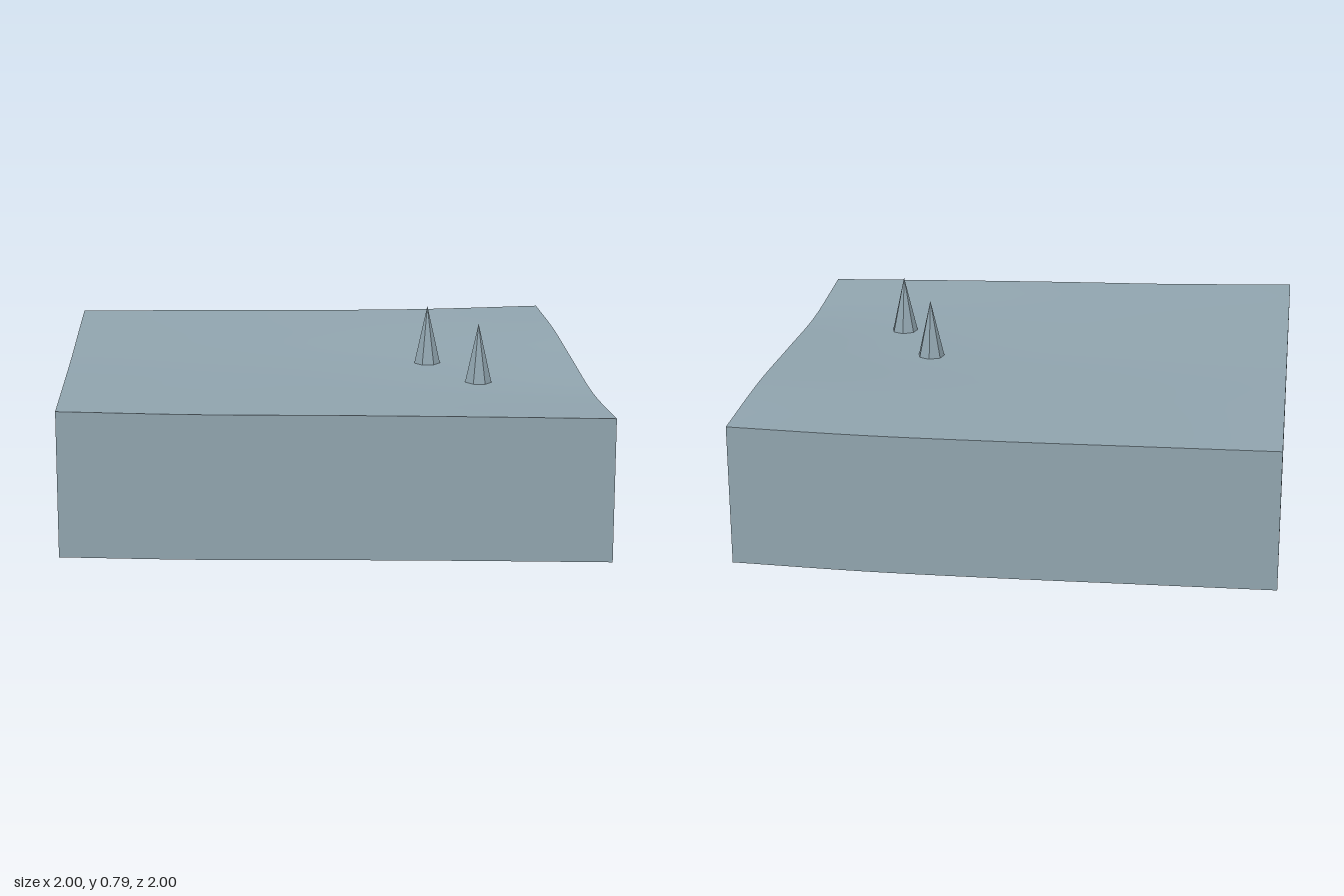
import * as THREE from 'three';

// Ground heights: rows run from back (z = -1) to front (z = 1), columns from x = -1 to x = 1
const HEIGHTS = [
  [0.602, 0.598, 0.594, 0.594, 0.604],
  [0.598, 0.585, 0.578, 0.58, 0.597],
  [0.592, 0.575, 0.562, 0.558, 0.565],
  [0.595, 0.577, 0.563, 0.549, 0.535],
  [0.6, 0.583, 0.574, 0.563, 0.55],
];
const SKIRT = 0.535;
const SEGMENTS = 24;

// Smooth curve through five evenly spaced values, t from -1 to 1
function smooth(values, t) {
  const u = (t + 1) * 2;
  const i = Math.min(3, Math.floor(u));
  const f = u - i;
  const b = values[i], c = values[i + 1];
  const a = i > 0 ? values[i - 1] : 2 * b - c;
  const d = i < 3 ? values[i + 2] : 2 * c - b;
  return b + 0.5 * f * (c - a + f * (2 * a - 5 * b + 4 * c - d + f * (3 * (b - c) + d - a)));
}

const heightAt = (x, z) => smooth(HEIGHTS.map((row) => smooth(row, x)), z);

export function createModel() {
  const model = new THREE.Group();
  model.name = 'terrainTile';

  const stone = new THREE.MeshStandardMaterial({ color: 0x90a4ae, side: THREE.DoubleSide });
  stone.name = 'blueGrey';
  const facetedStone = stone.clone();
  facetedStone.flatShading = true;

  const add = (name, geometry, material) => {
    const mesh = new THREE.Mesh(geometry, material);
    mesh.name = name;
    model.add(mesh);
    return mesh;
  };

  // Gently rolling ground
  const ground = new THREE.PlaneGeometry(2, 2, SEGMENTS, SEGMENTS).rotateX(-Math.PI / 2);
  const p = ground.attributes.position;
  for (let i = 0; i < p.count; i++) p.setY(i, heightAt(p.getX(i), p.getZ(i)));
  ground.computeVertexNormals();
  add('ground', ground, stone);

  // Skirt walls of constant depth hanging from each edge; the underside is open
  const walls = [['frontWall', 0], ['leftWall', 1], ['backWall', 2], ['rightWall', 3]];
  for (const [name, turns] of walls) {
    const wall = new THREE.PlaneGeometry(2, 1, SEGMENTS, 1);
    wall.translate(0, 0, 1).rotateY(turns * Math.PI / 2);
    const w = wall.attributes.position;
    for (let i = 0; i < w.count; i++) {
      const top = heightAt(THREE.MathUtils.clamp(w.getX(i), -1, 1), THREE.MathUtils.clamp(w.getZ(i), -1, 1));
      w.setY(i, w.getY(i) > 0 ? top : top - SKIRT);
    }
    wall.computeVertexNormals();
    add(name, wall, stone);
  }

  // Two seven-sided spikes
  const spike = new THREE.ConeGeometry(0.053, 0.23, 7, 1, true).rotateY(Math.PI).translate(0, 0.115, 0);
  for (const [name, x, z, y] of [['backSpike', 0.415, 0, 0.557], ['frontSpike', 0.58, 0.333, 0.546]]) {
    add(name, spike, facetedStone).position.set(x, y, z);
  }

  return model;
}
